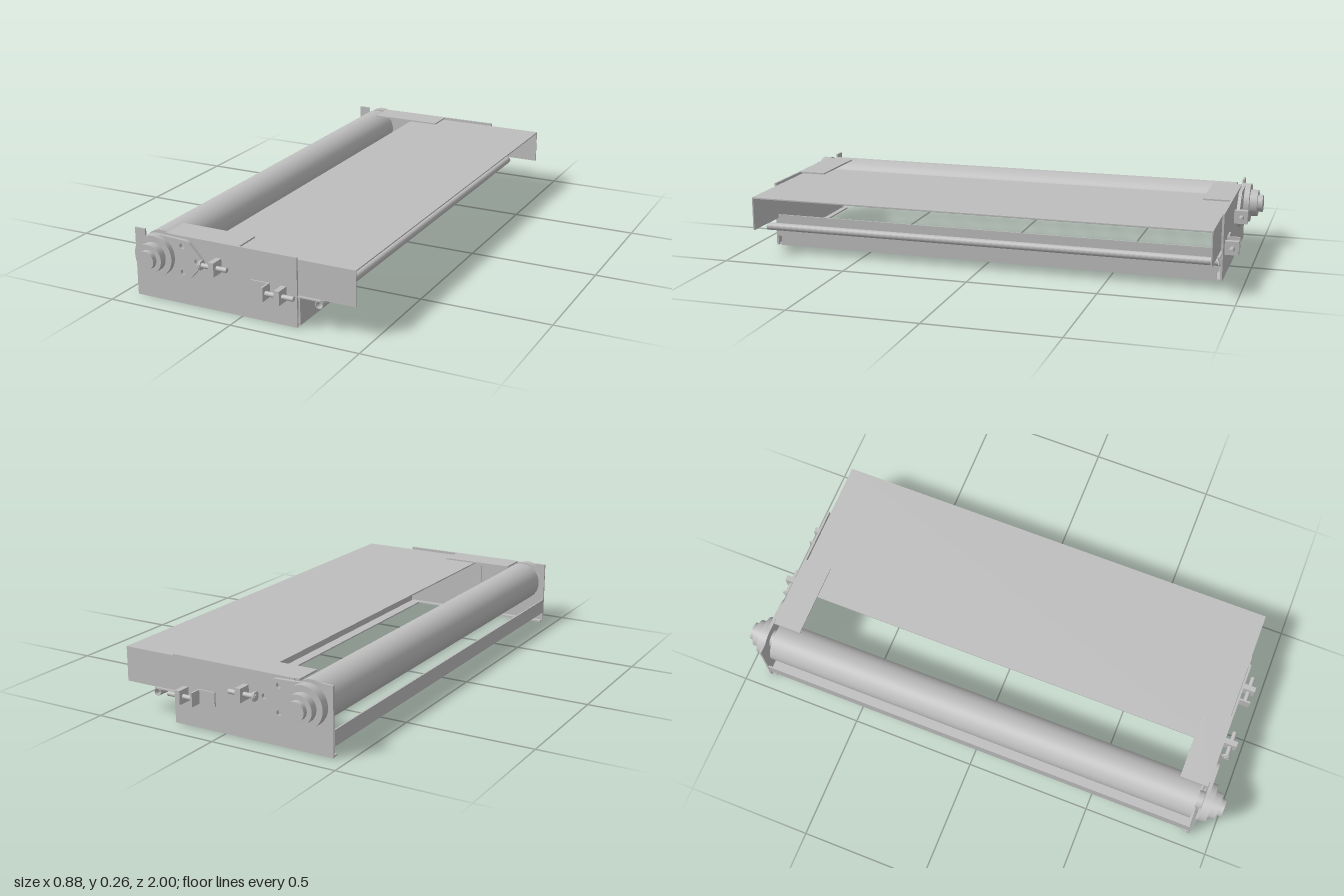
import * as THREE from 'three';

export function createModel() {
  const model = new THREE.Group();
  const steel = new THREE.MeshStandardMaterial({ color: 0xbebebe, side: THREE.DoubleSide });
  steel.name = 'steel grey';

  const add = (parent, name, geometry) => {
    const mesh = new THREE.Mesh(geometry, steel);
    mesh.name = name;
    parent.add(mesh);
    return mesh;
  };
  // Box given by its limits on each axis
  const box = (parent, name, x0, x1, y0, y1, z0, z1) =>
    add(parent, name, new THREE.BoxGeometry(x1 - x0, y1 - y0, z1 - z0))
      .position.set((x0 + x1) / 2, (y0 + y1) / 2, (z0 + z1) / 2);
  // Cylinder along z
  const discZ = (parent, name, x, y, r, z0, z1) =>
    add(parent, name, new THREE.CylinderGeometry(r, r, z1 - z0, 48).rotateX(Math.PI / 2))
      .position.set(x, y, (z0 + z1) / 2);
  // Cylinder along x
  const rodX = (parent, name, r, x0, x1, y, z, sides = 24) =>
    add(parent, name, new THREE.CylinderGeometry(r, r, x1 - x0, sides).rotateZ(Math.PI / 2))
      .position.set((x0 + x1) / 2, y, z);
  const sheet = (parent, name, shape, z0, z1) =>
    add(parent, name, new THREE.ExtrudeGeometry(shape,
      { depth: z1 - z0, bevelEnabled: false, curveSegments: 24 })).position.z = z0;

  const AX = -0.345, AY = 0.177;

  // Long parts spanning the frame
  discZ(model, 'roller', AX, AY, 0.08, -0.89, 0.89);
  box(model, 'coverPlate', -0.14, 0.44, 0.245, 0.25, -0.905, 0.905);
  box(model, 'frontCrossPlate', 0.213, 0.22, 0, 0.125, -0.893, 0.893);
  box(model, 'frontCrossFacing', 0.22, 0.226, 0.04, 0.13, -0.905, 0.905);
  box(model, 'frontCrossFlange', 0.17, 0.213, 0, 0.006, -0.893, 0.893);
  box(model, 'rearCrossPlate', -0.444, -0.438, 0.04, 0.1, -0.905, 0.905);
  box(model, 'rearCrossFlange', -0.438, -0.39, 0.04, 0.046, -0.905, 0.905);

  // Hollow edge tube
  const ring = new THREE.Shape().absarc(0.302, 0.1, 0.015, 0, Math.PI * 2);
  ring.holes.push(new THREE.Path().absarc(0.302, 0.1, 0.012, 0, Math.PI * 2, true));
  sheet(model, 'edgeTube', ring, -0.91, 0.91);

  // Side plate with an open slot for the shaft
  const side = new THREE.Shape();
  side.moveTo(-0.443, 0);
  side.lineTo(0.22, 0);
  side.lineTo(0.22, 0.26);
  side.lineTo(-0.29, 0.26);
  side.lineTo(-0.29, AY);
  side.absarc(AX, AY, 0.055, 0, Math.PI, true);
  side.lineTo(-0.4, 0.26);
  side.lineTo(-0.443, 0.26);
  side.closePath();

  // Teardrop bearing plate with three holes
  const bearing = new THREE.Shape();
  bearing.absarc(AX, AY, 0.078, Math.PI / 2, Math.PI * 1.5);
  bearing.lineTo(-0.225, 0.102);
  bearing.quadraticCurveTo(-0.208, 0.102, -0.198, 0.116);
  bearing.lineTo(-0.152, 0.168);
  bearing.lineTo(-0.152, 0.186);
  bearing.lineTo(-0.205, 0.243);
  bearing.quadraticCurveTo(-0.215, 0.25, -0.228, 0.25);
  bearing.closePath();
  for (const [x, y] of [[-0.235, 0.227], [-0.235, 0.127], [-0.175, 0.177]])
    bearing.holes.push(new THREE.Path().absarc(x, y, 0.01, 0, Math.PI * 2, true));

  // End assemblies: s is the end of the frame, parts mirrored in z
  for (const s of [1, -1]) {
    const end = new THREE.Group();
    end.name = s > 0 ? 'frontEnd' : 'backEnd';
    model.add(end);
    const z = (a, b) => (s > 0 ? [a, b] : [-b, -a]);

    sheet(end, 'sidePlate', side, ...z(0.907, 0.915));
    box(end, 'sideFlange', -0.44, 0.213, 0, 0.006, ...z(0.885, 0.907));
    box(end, 'coverSkirt', -0.14, 0.44, 0.117, 0.25, ...z(0.9, 0.905));
    box(end, 'cornerPlate', -0.31, -0.01, 0.254, 0.26, ...z(0.8, 0.912));

    // Bearing and stepped shaft end
    sheet(end, 'bearingPlate', bearing, ...z(0.915, 0.928));
    discZ(end, 'bearingFlange', AX, AY, 0.078, ...z(0.928, 0.95));
    discZ(end, 'bearingHub', AX, AY, 0.054, ...z(0.95, 0.98));
    discZ(end, 'shaftEnd', AX, AY, 0.035, ...z(0.88, 1));

    // Roller tensioning screw
    rodX(end, 'tensionScrew', 0.009, -0.155, -0.04, AY, s * 0.945);
    rodX(end, 'tensionNut', 0.019, -0.152, -0.143, AY, s * 0.942, 6);
    box(end, 'tensionBracket', -0.103, -0.081, 0.151, 0.203, ...z(0.915, 0.968));

    // Adjuster for the edge tube
    box(end, 'adjusterPlate', 0.04, 0.108, 0.095, 0.148, ...z(0.915, 0.921));
    box(end, 'adjusterLug', 0.106, 0.113, 0.095, 0.148, ...z(0.915, 0.965));
    rodX(end, 'adjusterScrew', 0.009, 0.108, 0.224, 0.12, s * 0.945);
    box(end, 'adjusterBracket', 0.158, 0.179, 0.094, 0.147, ...z(0.915, 0.968));
    box(end, 'tubeArm', 0.11, 0.31, 0.113, 0.118, ...z(0.905, 0.914));
  }
  return model;
}
